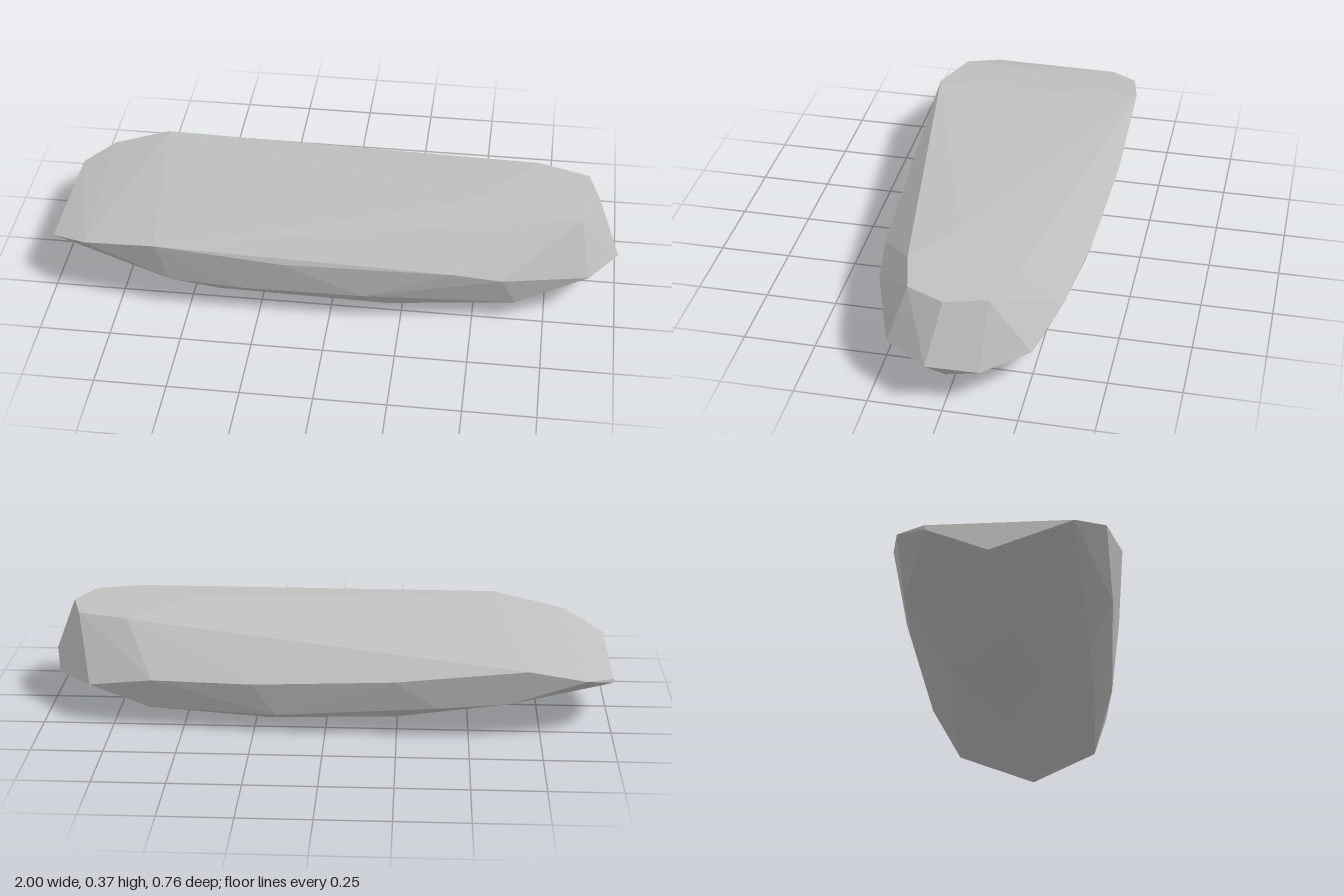
import * as THREE from 'three';
import { ConvexGeometry } from 'three/addons/geometries/ConvexGeometry.js';

// Each ring is a loop of [x, y, z] corners; the stone is the hull around them
const topRim = [
  [-1, 0.205, 0.23], [-0.86, 0.26, 0.33], [-0.6, 0.305, 0.38],
  [0.7, 0.374, 0.18], [0.86, 0.373, 0.14], [0.92, 0.372, 0.01],
  [0.88, 0.372, -0.13], [0.7, 0.372, -0.19], [0.5, 0.374, 0.05],
  [-0.7, 0.27, -0.375], [-0.9, 0.225, -0.34], [-1, 0.2, -0.24],
];
const girdle = [
  [-0.16, 0.255, 0.365], [0.43, 0.24, 0.33], [0.6, 0.21, 0.308],
  [0.9, 0.175, 0.205], [1, 0.17, 0.055], [0.96, 0.14, -0.115],
  [0.83, 0.15, -0.26], [0.6, 0.195, -0.325], [0.25, 0.2, -0.36],
  [-0.24, 0.225, -0.38],
];
const lowerSide = [
  [-0.56, 0.14, 0.345], [-0.3, 0.12, 0.34], [0.12, 0.12, 0.335],
  [0.65, 0.085, 0.26], [0.9, 0.07, 0.01], [0.62, 0.07, -0.262],
  [0.17, 0.075, -0.325], [-0.39, 0.12, -0.35], [-0.64, 0.14, -0.345],
  [-1, 0.185, -0.24], [-1, 0.107, -0.04],
];
const underside = [
  [0.2, 0.045, 0.27], [-0.4, 0.05, 0.265], [-0.25, 0.011, 0.11],
  [0.15, 0, -0.04], [0.76, 0.033, -0.02], [0.2, 0.035, -0.25],
  [-0.25, 0.035, -0.22], [-0.6, 0.04, 0.02],
];

export function createModel() {
  const group = new THREE.Group();
  group.name = 'stone';

  const stoneGrey = new THREE.MeshStandardMaterial({ color: 0xc0c0c0 });
  stoneGrey.name = 'stone grey';
  stoneGrey.flatShading = true;

  // Faceted slab with a broad sloping top
  const corners = [...topRim, ...girdle, ...lowerSide, ...underside]
    .map((p) => new THREE.Vector3(...p));
  const slab = new THREE.Mesh(new ConvexGeometry(corners), stoneGrey);
  slab.name = 'slab';
  group.add(slab);
  return group;
}
